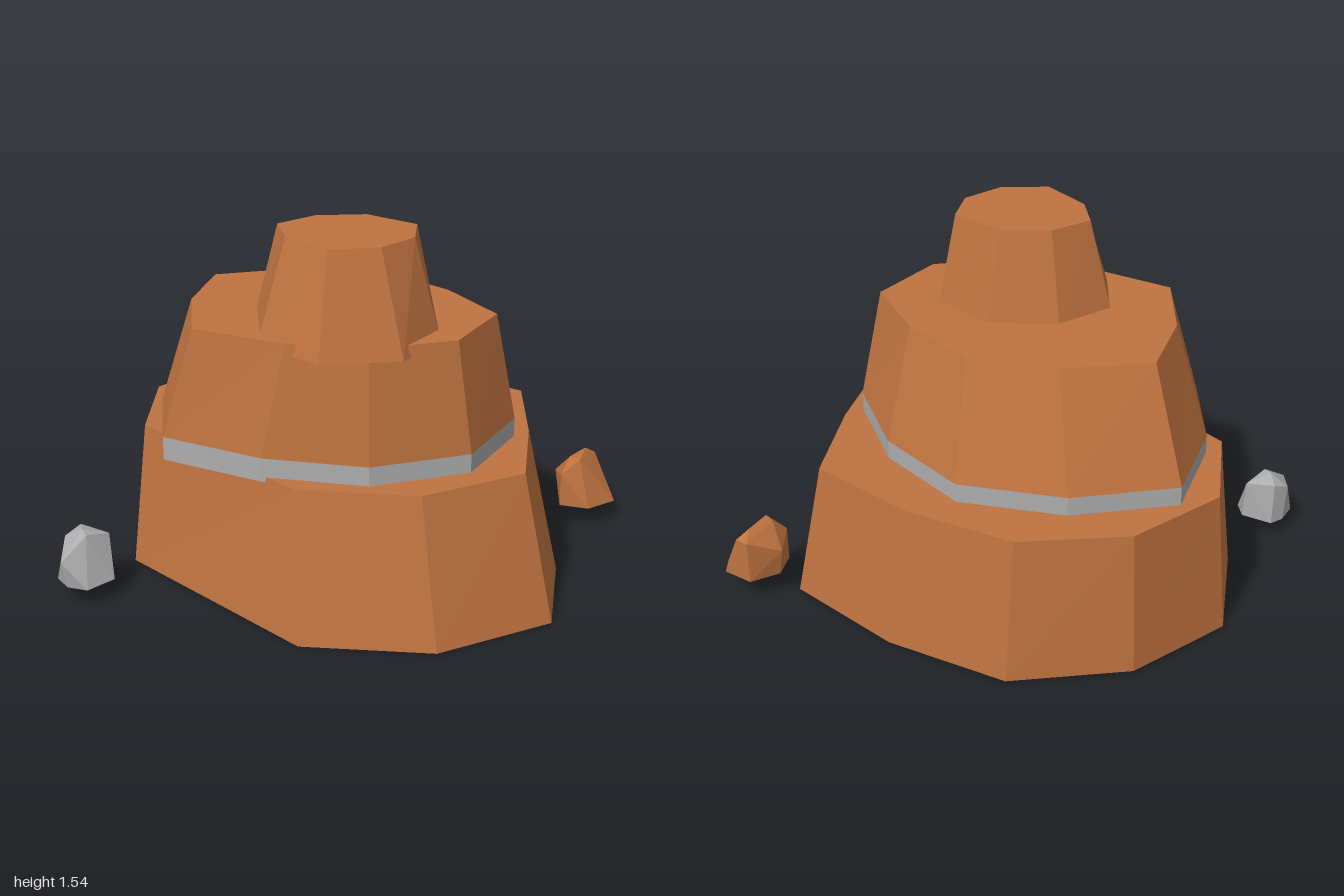
import * as THREE from 'three';
import { ConvexGeometry } from 'three/addons/geometries/ConvexGeometry.js';

const material = (name, color) => {
  const m = new THREE.MeshStandardMaterial({ color, side: THREE.DoubleSide, flatShading: true });
  m.name = name;
  return m;
};

// Joins two [x, z] outlines (clockwise from above) with walls and an optional flat top.
function tierGeometry(lower, y0, upper, y1, capped) {
  const pos = [];
  const n = lower.length;
  const cx = upper.reduce((s, p) => s + p[0], 0) / n;
  const cz = upper.reduce((s, p) => s + p[1], 0) / n;
  for (let i = 0; i < n; i++) {
    const j = (i + 1) % n;
    const a = [lower[i][0], y0, lower[i][1]], b = [lower[j][0], y0, lower[j][1]];
    const c = [upper[i][0], y1, upper[i][1]], d = [upper[j][0], y1, upper[j][1]];
    pos.push(...b, ...a, ...c, ...b, ...c, ...d);
    if (capped) pos.push(cx, y1, cz, ...d, ...c);
  }
  const g = new THREE.BufferGeometry();
  g.setAttribute('position', new THREE.Float32BufferAttribute(pos, 3));
  g.computeVertexNormals();
  return g;
}

export function createModel() {
  const group = new THREE.Group();
  group.name = 'steppedRock';
  const clay = material('clayOrange', 0xbf7340);
  const grey = material('stoneGrey', 0xadadad);
  const add = (name, geometry, mat) => {
    const mesh = new THREE.Mesh(geometry, mat);
    mesh.name = name;
    group.add(mesh);
  };

  // Wide bottom tier, open underneath
  const baseLow = [[-1, -0.05], [-0.81, -0.5], [-0.4, -0.81], [0.14, -0.83], [0.68, -0.71],
    [0.88, -0.25], [1, 0.21], [0.66, 0.62], [0.14, 0.79], [-0.82, 0.42]];
  const baseTop = [[-0.95, -0.06], [-0.78, -0.48], [-0.4, -0.745], [0.08, -0.765], [0.56, -0.67],
    [0.73, -0.25], [0.85, 0.17], [0.55, 0.53], [0.08, 0.675], [-0.78, 0.35]];
  add('bottomTier', tierGeometry(baseLow, 0, baseTop, 0.62, true), clay);

  // Middle tier standing on a grey band
  const midLow = [[-0.84, -0.19], [-0.49, -0.48], [-0.06, -0.61], [0.36, -0.46], [0.69, -0.17],
    [0.65, 0.25], [0.33, 0.53], [-0.09, 0.622], [-0.55, 0.592], [-0.76, 0.23]];
  const midTop = [[-0.67, -0.11], [-0.37, -0.34], [-0.01, -0.44], [0.33, -0.315], [0.62, -0.1],
    [0.585, 0.255], [0.31, 0.49], [-0.01, 0.56], [-0.42, 0.55], [-0.6, 0.23]];
  add('greyBand', tierGeometry(midLow, 0.6, midLow, 0.7, false), grey);
  add('middleTier', tierGeometry(midLow, 0.7, midTop, 1.17, true), clay);

  // Small top tier, overhanging slightly at the front
  const peakLow = [[-0.19, 0], [0.07, -0.145], [0.36, -0.065], [0.485, 0.18],
    [0.43, 0.435], [0.15, 0.6], [-0.16, 0.5], [-0.305, 0.245]];
  const peakTop = [[-0.11, 0.065], [0.075, -0.035], [0.315, 0.02], [0.375, 0.195],
    [0.31, 0.375], [0.135, 0.483], [-0.09, 0.38], [-0.195, 0.235]];
  add('topTier', tierGeometry(peakLow, 1.12, peakTop, 1.54, true), clay);

  // Loose boulders
  const boulder = (name, mat, points) =>
    add(name, new ConvexGeometry(points.map((p) => new THREE.Vector3(...p))), mat);
  boulder('greyBoulder', grey, [
    [-0.95, 0.08, 0.72], [-0.95, 0.08, 0.82], [-0.87, 0.08, 0.87], [-0.78, 0.08, 0.86],
    [-0.73, 0.08, 0.73], [-0.78, 0.08, 0.66], [-0.92, 0.08, 0.66],
    [-0.955, 0.24, 0.74], [-0.88, 0.2, 0.89], [-0.87, 0.29, 0.74], [-0.83, 0.28, 0.77],
    [-0.92, 0.27, 0.67], [-0.79, 0.25, 0.66]]);
  boulder('clayBoulder', clay, [
    [0.985, 0.1, -0.8], [0.9, 0.1, -0.67], [0.77, 0.1, -0.655], [0.73, 0.1, -0.77],
    [0.8, 0.1, -0.885], [0.94, 0.1, -0.875], [0.71, 0.22, -0.77], [0.77, 0.25, -0.655],
    [0.79, 0.32, -0.72], [0.84, 0.32, -0.7], [0.83, 0.325, -0.83], [0.8, 0.29, -0.885],
    [0.86, 0.29, -0.88]]);

  return group;
}
